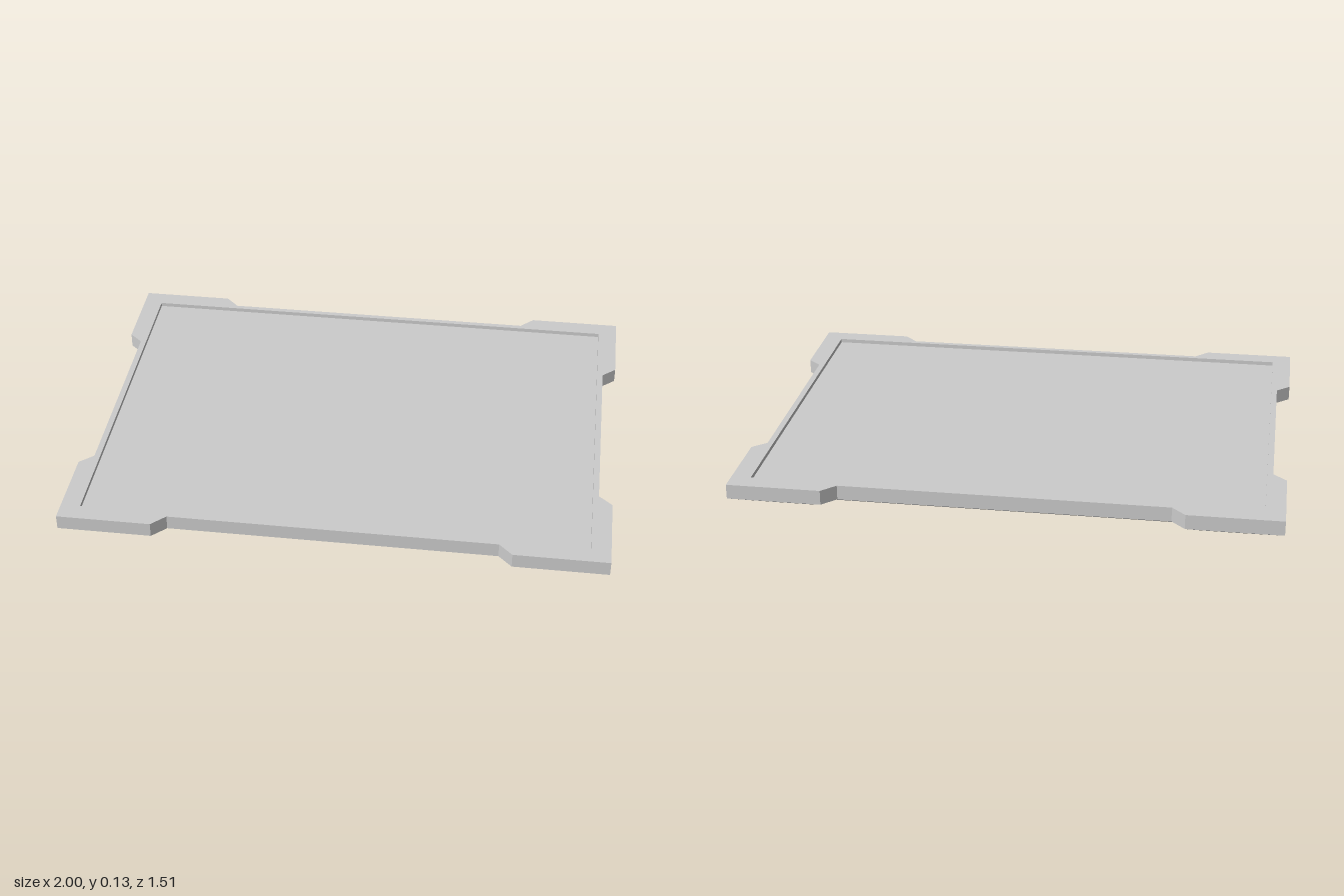
import * as THREE from 'three';

const HX = 1, HZ = 0.757;          // half sizes of the outer corners
const TOP = 0.13, CHAMFER = 0.075; // heights of the rim and of the underside bevel
const FLOOR = 0.115;               // recessed tray surface
const INSET = 0.14;                // how far the bevel runs in underneath

const material = new THREE.MeshStandardMaterial({ color: 0xcccccc, flatShading: true });

// One quarter mirrored into a full counter-clockwise loop
function mirrorLoop(quarter) {
  const flipX = quarter.map(([x, z]) => [-x, z]).reverse();
  const half = [...quarter, ...flipX];
  return [...half, ...half.map(([x, z]) => [-x, -z])].map(([x, z]) => new THREE.Vector2(x, z));
}

// Outline with thick corner tabs and 45 degree steps, inset evenly by d
function outline(d) {
  const t = d * Math.tan(Math.PI / 8);
  return mirrorLoop([
    [HX - 0.05 - d, 0.389 + t],
    [HX - d, 0.434 + t],
    [HX - d, HZ - d],
    [0.653 + t, HZ - d],
    [0.603 + t, HZ - 0.05 - d],
  ]);
}

// Wall of quads between two matching loops at two heights
function wall(a, ya, b, yb) {
  const pos = [];
  const put = (p, y) => pos.push(p.x, y, -p.y);
  a.forEach((p, i) => {
    const j = (i + 1) % a.length;
    put(p, ya); put(a[j], ya); put(b[j], yb);
    put(p, ya); put(b[j], yb); put(b[i], yb);
  });
  const geo = new THREE.BufferGeometry();
  geo.setAttribute('position', new THREE.Float32BufferAttribute(pos, 3));
  geo.computeVertexNormals();
  return geo;
}

// Flat face at height y, facing up or down
function cap(loop, y, up = true, hole = null) {
  const shape = new THREE.Shape(loop);
  if (hole) shape.holes.push(new THREE.Path(hole));
  const geo = new THREE.ShapeGeometry(shape);
  // the loop is symmetric, so turning it over keeps the same outline
  return geo.rotateX(up ? -Math.PI / 2 : Math.PI / 2).translate(0, y, 0);
}

export function createModel() {
  const group = new THREE.Group();
  group.name = 'tray';
  const add = (name, geo) => {
    const mesh = new THREE.Mesh(geo, material);
    mesh.name = name;
    group.add(mesh);
  };

  const edge = outline(0);
  const base = outline(INSET);
  const recess = mirrorLoop([[0.928, 0.687]]);

  add('underside', cap(base, 0, false));
  add('undersideBevel', wall(base, 0, edge, CHAMFER));
  add('outerEdge', wall(edge, CHAMFER, edge, TOP));
  add('rim', cap(edge, TOP, true, recess));
  add('recessWall', wall(recess, TOP, recess, FLOOR));
  add('traySurface', cap(recess, FLOOR));

  return group;
}
